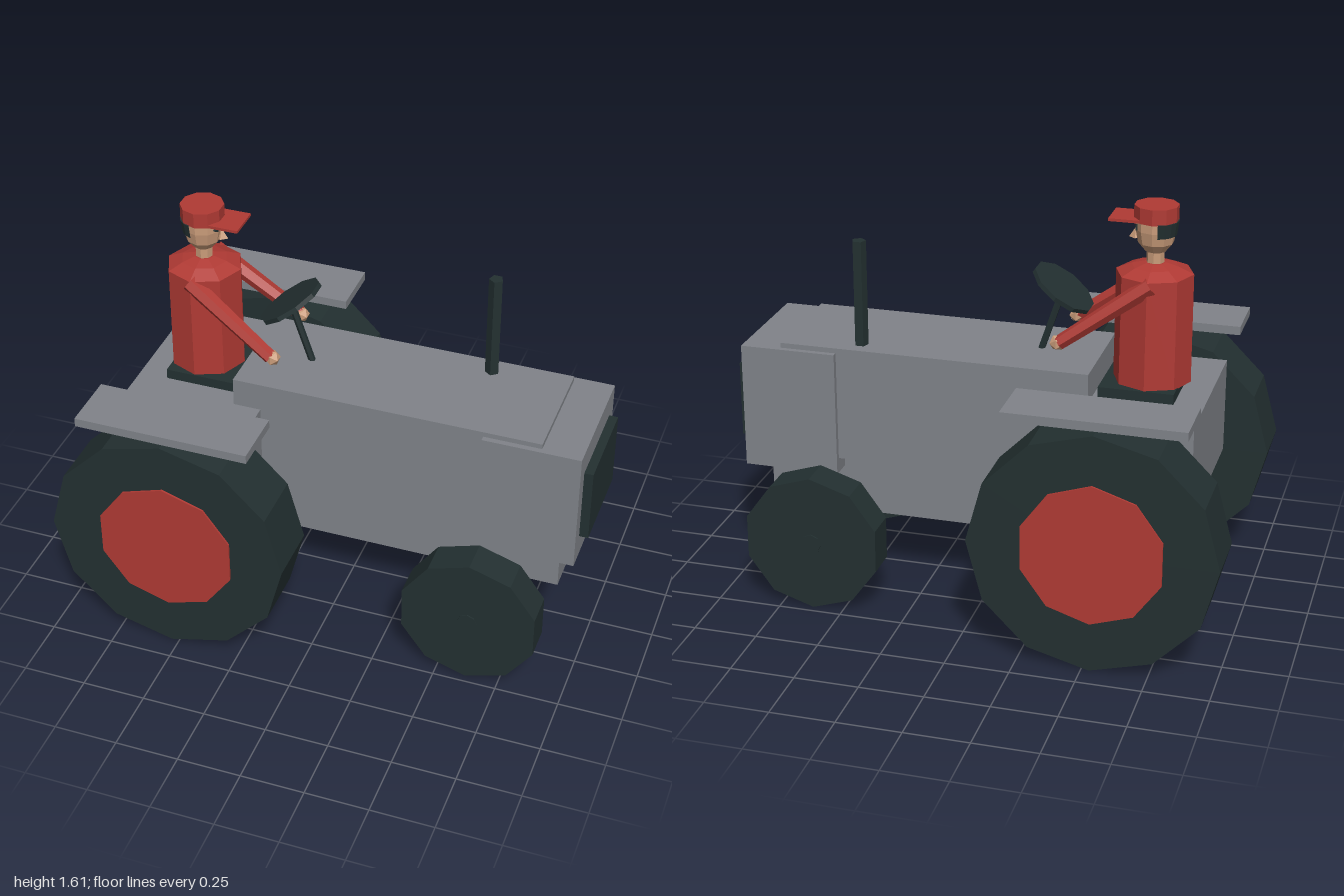
import * as THREE from 'three';

const mat = (name, color) => {
  const m = new THREE.MeshStandardMaterial({ color, flatShading: true });
  m.name = name;
  return m;
};

export function createModel() {
  const grey = mat('body grey', 0x808389);
  const dark = mat('tyre black', 0x233031);
  const red = mat('red', 0xb03a34);
  const skin = mat('skin', 0xc99b79);
  const root = new THREE.Group();
  root.name = 'tractor';

  const add = (name, geo, material, parent = root) => {
    const m = new THREE.Mesh(geo, material);
    m.name = name;
    parent.add(m);
    return m;
  };
  // Box given by its limits on each axis
  const box = (name, m, x0, x1, y0, y1, z0, z1, parent) =>
    add(name, new THREE.BoxGeometry(x1 - x0, y1 - y0, z1 - z0)
      .translate((x0 + x1) / 2, (y0 + y1) / 2, (z0 + z1) / 2), m, parent);
  // Cylinder lying along z
  const disc = (name, m, x, y, z0, z1, r, sides, parent) =>
    add(name, new THREE.CylinderGeometry(r, r, z1 - z0, sides)
      .rotateX(Math.PI / 2).translate(x, y, (z0 + z1) / 2), m, parent);
  // Rod between two points
  const rod = (name, m, a, b, ra, rb, sides, parent) => {
    const p = new THREE.Vector3(...a), q = new THREE.Vector3(...b);
    const d = q.clone().sub(p);
    const mesh = add(name, new THREE.CylinderGeometry(rb, ra, d.length(), sides), m, parent);
    mesh.position.copy(p).add(q).multiplyScalar(0.5);
    mesh.quaternion.setFromUnitVectors(new THREE.Vector3(0, 1, 0), d.normalize());
    return mesh;
  };
  const lathe = (name, m, pts, sides, parent) =>
    add(name, new THREE.LatheGeometry(pts.map(p => new THREE.Vector2(...p)), sides), m, parent);

  // Bodywork
  box('chassis', grey, -0.55, 0.89, 0.29, 0.56, -0.16, 0.16);
  box('hood', grey, -0.41, 0.81, 0.54, 1.0, -0.228, 0.228);
  box('nose', grey, 0.585, 0.965, 0.48, 0.98, -0.25, 0.25);
  box('rearBody', grey, -0.835, -0.3, 0.505, 0.885, -0.345, 0.345);
  box('grille', dark, 0.96, 1.0, 0.58, 0.88, -0.19, 0.19);
  box('seat', dark, -0.72, -0.43, 0.88, 0.925, -0.155, 0.155);
  rod('exhaust', dark, [0.505, 0.98, -0.155], [0.505, 1.42, -0.155], 0.028, 0.028, 5);

  // Axles, wheels and fenders
  disc('rearAxle', dark, -0.53, 0.475, -0.42, 0.42, 0.045, 8);
  disc('frontAxle', dark, 0.62, 0.277, -0.475, 0.475, 0.04, 8);
  for (const s of [-1, 1]) {
    const span = (a, b) => (s > 0 ? [a, b] : [-b, -a]);
    disc('rearTyre', dark, -0.53, 0.475, ...span(0.415, 0.657), 0.473, 12);
    disc('rearHub', red, -0.53, 0.477, ...span(0.408, 0.665), 0.278, 10);
    disc('frontTyre', dark, 0.62, 0.277, ...span(0.335, 0.47), 0.275, 10);
    box('fender', grey, -0.87, -0.185, 0.965, 1.0, ...span(0.422, 0.655));
  }

  // Steering
  rod('steeringColumn', dark, [-0.17, 0.99, 0], [-0.255, 1.245, 0], 0.014, 0.014, 6);
  const wheel = add('steeringWheel', new THREE.CylinderGeometry(0.135, 0.135, 0.018, 10), dark);
  wheel.position.set(-0.255, 1.25, 0);
  wheel.rotation.z = 0.62;

  // Driver, facing +x, origin on the spine axis
  const driver = new THREE.Group();
  driver.name = 'driver';
  driver.position.x = -0.605;
  root.add(driver);
  lathe('torso', red, [[0, 0.922], [0.15, 0.922], [0.148, 1.35], [0.09, 1.375], [0.04, 1.388], [0, 1.388]], 8, driver);
  rod('neck', skin, [0, 1.37, 0], [0, 1.46, 0], 0.034, 0.034, 8, driver);
  lathe('head', skin, [[0, 1.425], [0.04, 1.432], [0.067, 1.465], [0.077, 1.515], [0.077, 1.56], [0, 1.56]], 10, driver);
  const nose = add('nose', new THREE.ConeGeometry(0.02, 0.04, 4), skin, driver);
  nose.scale.x = 1.3;
  nose.position.set(0.076, 1.497, 0);
  // Hair wraps the back half of the head
  add('hair', new THREE.CylinderGeometry(0.086, 0.078, 0.055, 8, 1, false, Math.PI * 1.08, Math.PI * 0.84)
    .translate(0, 1.525, 0), dark, driver);
  rod('cap', red, [0, 1.55, 0], [0, 1.61, 0], 0.084, 0.084, 10, driver);
  box('capBrim', red, 0.04, 0.168, 1.551, 1.562, -0.068, 0.068, driver);
  for (const s of [-1, 1]) {
    rod('arm', red, [-0.01, 1.335, s * 0.125], [0.325, 1.09, s * 0.16], 0.036, 0.028, 6, driver);
    const hand = add('hand', new THREE.IcosahedronGeometry(0.032, 0), skin, driver);
    hand.position.set(0.332, 1.088, s * 0.157);
    const eye = add('eye', new THREE.CylinderGeometry(0.014, 0.014, 0.008, 3).rotateZ(Math.PI / 2), dark, driver);
    eye.position.set(0.068, 1.527, s * 0.032);
    eye.rotation.y = -s * 0.32;
  }
  return root;
}
